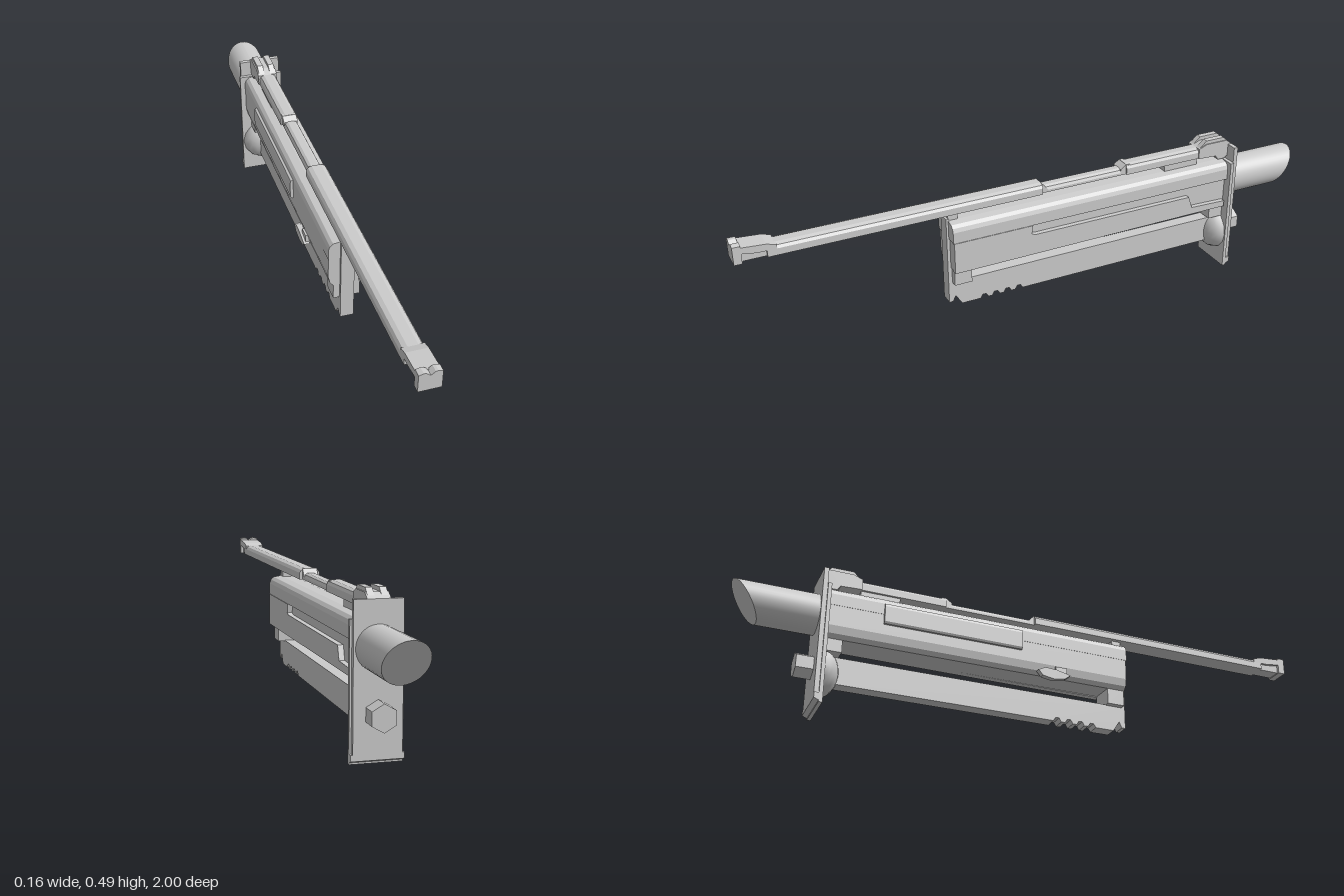
import * as THREE from 'three';

const grey = new THREE.MeshStandardMaterial({ color: 0xcccccc, flatShading: true });
const smooth = new THREE.MeshStandardMaterial({ color: 0xcccccc });

export function createModel() {
  const model = new THREE.Group();

  const add = (name, geometry, material = grey) => {
    const mesh = new THREE.Mesh(geometry, material);
    mesh.name = name;
    model.add(mesh);
    return mesh;
  };
  const shapeOf = (pts) => new THREE.Shape(pts.map(([a, b]) => new THREE.Vector2(a, b)));
  const extrude = (pts, depth) =>
    new THREE.ExtrudeGeometry(shapeOf(pts), { depth, bevelEnabled: false });

  // Side outline in (z, y), given thickness from x0 to x1
  const side = (name, pts, x0, x1) =>
    add(name, extrude(pts, x1 - x0).rotateY(-Math.PI / 2).translate(x1, 0, 0));
  // Cross-section in (x, y), run from z0 to z1
  const section = (name, pts, z0, z1) =>
    add(name, extrude(pts, z1 - z0).translate(0, 0, z0));
  const box = (name, x0, x1, y0, y1, z0, z1) =>
    add(name, new THREE.BoxGeometry(x1 - x0, y1 - y0, z1 - z0)
      .translate((x0 + x1) / 2, (y0 + y1) / 2, (z0 + z1) / 2));

  // End plate: tall back layer and shorter front layer
  box('backPlate', -0.072, 0.072, 0.02, 0.46, -0.733, -0.718);
  box('frontPlate', -0.078, 0.078, 0, 0.405, -0.718, -0.706);
  side('plateFoot', [[-0.706, 0], [-0.733, 0.012], [-0.733, 0.03], [-0.706, 0.03]], -0.078, 0.078);

  // Round stub behind the plate, its end cut on a slant
  const stub = new THREE.CylinderGeometry(0.066, 0.066, 0.27, 40)
    .rotateX(-Math.PI / 2).translate(0, 0.325, -0.865);
  const p = stub.attributes.position;
  for (let i = 0; i < p.count; i++) {
    if (p.getZ(i) < -0.9) p.setZ(i, -0.957 - (p.getY(i) - 0.325) * 0.65);
  }
  stub.computeVertexNormals();
  add('slantedStub', stub, smooth);

  // Hex bolt and the dome it fastens
  add('hexBolt', new THREE.CylinderGeometry(0.041, 0.041, 0.06, 6)
    .rotateX(Math.PI / 2).translate(0, 0.142, -0.758));
  add('dome', new THREE.SphereGeometry(0.075, 14, 6, 0, Math.PI * 2, 0, Math.PI / 2)
    .rotateX(Math.PI / 2).scale(1, 1, 0.75).translate(0, 0.126, -0.706), smooth);
  box('domeBracket', -0.042, 0.045, 0.19, 0.26, -0.706, -0.652);

  // Lower bar with a row of teeth under its front end
  const teeth = [];
  for (let i = 0; i < 4; i++) {
    const z = 0.07 + i * 0.042;
    teeth.push([z, 0.09], [z + 0.008, 0.103], [z + 0.02, 0.103], [z + 0.028, 0.09]);
  }
  side('lowerBar', [[-0.67, 0.18], [-0.67, 0.09], ...teeth, [0.29, 0.09],
    [0.312, 0.125], [0.322, 0.105], [0.334, 0.105], [0.334, 0.18]], -0.022, 0.022);
  box('frontStrip', -0.022, 0.022, 0.105, 0.41, 0.322, 0.335);
  box('frontSpacer', -0.042, 0.045, 0.178, 0.235, 0.262, 0.322);

  // Main body: inner core, rounded cover, and lower side wall leaving a stepped slot
  section('bodyCore', [[-0.06, 0.34], [-0.06, 0.27], [-0.054, 0.245], [-0.042, 0.232],
    [0.046, 0.235], [0.046, 0.34]], -0.706, 0.325);
  section('bodyCover', [[-0.061, 0.34], [0.061, 0.34], [0.061, 0.378], [0.056, 0.391],
    [0.046, 0.4], [0.02, 0.404], [-0.02, 0.404], [-0.046, 0.4], [-0.056, 0.391],
    [-0.061, 0.378]], -0.706, 0.328);
  side('slottedWall', [[0.326, 0.34], [0.05, 0.34], [0.055, 0.31], [0.04, 0.305],
    [-0.55, 0.305], [-0.565, 0.262], [-0.7, 0.258], [-0.7, 0.237], [0.326, 0.232]], 0.04, 0.063);

  // Raised panel and small lever on the right-hand side
  section('sidePanel', [[-0.058, 0.305], [-0.058, 0.378], [-0.069, 0.374],
    [-0.071, 0.365], [-0.071, 0.312], [-0.067, 0.305]], -0.53, -0.06);
  side('lever', [[0.11, 0.238], [0.09, 0.222], [0.05, 0.215], [0.01, 0.222], [-0.005, 0.24],
    [0.02, 0.252], [0.06, 0.25]], -0.074, -0.055);
  box('leverPivot', -0.066, -0.05, 0.235, 0.265, 0.06, 0.1);

  // Long top rod with a rounded back
  const rodEnd = (w, y0, y1) => [[-w, y0], [w, y0], [w, y1 - 0.014], [w * 0.82, y1 - 0.005],
    [w * 0.45, y1], [-w * 0.45, y1], [-w * 0.82, y1 - 0.005], [-w, y1 - 0.014]];
  section('frontRod', rodEnd(0.034, 0.428, 0.464), 0, 0.9);
  side('rodRamp', [[0, 0.464], [-0.03, 0.43], [0, 0.428]], -0.024, 0.024);
  section('thinRod', rodEnd(0.024, 0.428, 0.45), -0.32, 0.01);
  side('rearRamp', [[-0.295, 0.449], [-0.315, 0.463], [-0.33, 0.463], [-0.33, 0.43],
    [-0.295, 0.43]], -0.024, 0.024);
  section('rearRod', rodEnd(0.03, 0.428, 0.464), -0.62, -0.315);
  box('rearRodRest', -0.022, 0.022, 0.4, 0.43, -0.6, -0.47);
  box('frontRodRest', -0.02, 0.02, 0.4, 0.43, 0.295, 0.328);

  // Rod nose: notched tip, sloping back and waisted lower part
  const notched = (w, y0, y1) => [[-w, y0], [w, y0], [w, y1 - 0.004], [0.02, y1],
    [0.013, y1 - 0.001], [0, y1 - 0.011], [-0.013, y1 - 0.001], [-0.02, y1], [-w, y1 - 0.004]];
  section('noseTip', notched(0.034, 0.425, 0.487), 0.975, 1);
  side('noseSlope', [[0.98, 0.478], [0.9, 0.472], [0.87, 0.463], [0.87, 0.45],
    [0.93, 0.45], [0.98, 0.458]], -0.034, 0.034);
  side('noseWaist', [[0.98, 0.465], [0.89, 0.465], [0.89, 0.428], [0.98, 0.428]], -0.024, 0.024);

  // Rear sight block with sloped front and notch
  side('rearBlock', [[-0.6, 0.464], [-0.63, 0.476], [-0.71, 0.476], [-0.733, 0.46],
    [-0.733, 0.43], [-0.706, 0.41], [-0.68, 0.41], [-0.67, 0.425], [-0.6, 0.428]], -0.034, 0.034);
  for (const s of [-1, 1]) {
    side('rearBlockEar', [[-0.605, 0.466], [-0.63, 0.488], [-0.7, 0.488], [-0.722, 0.468]],
      s > 0 ? 0.01 : -0.03, s > 0 ? 0.03 : -0.01);
  }
  return model;
}
